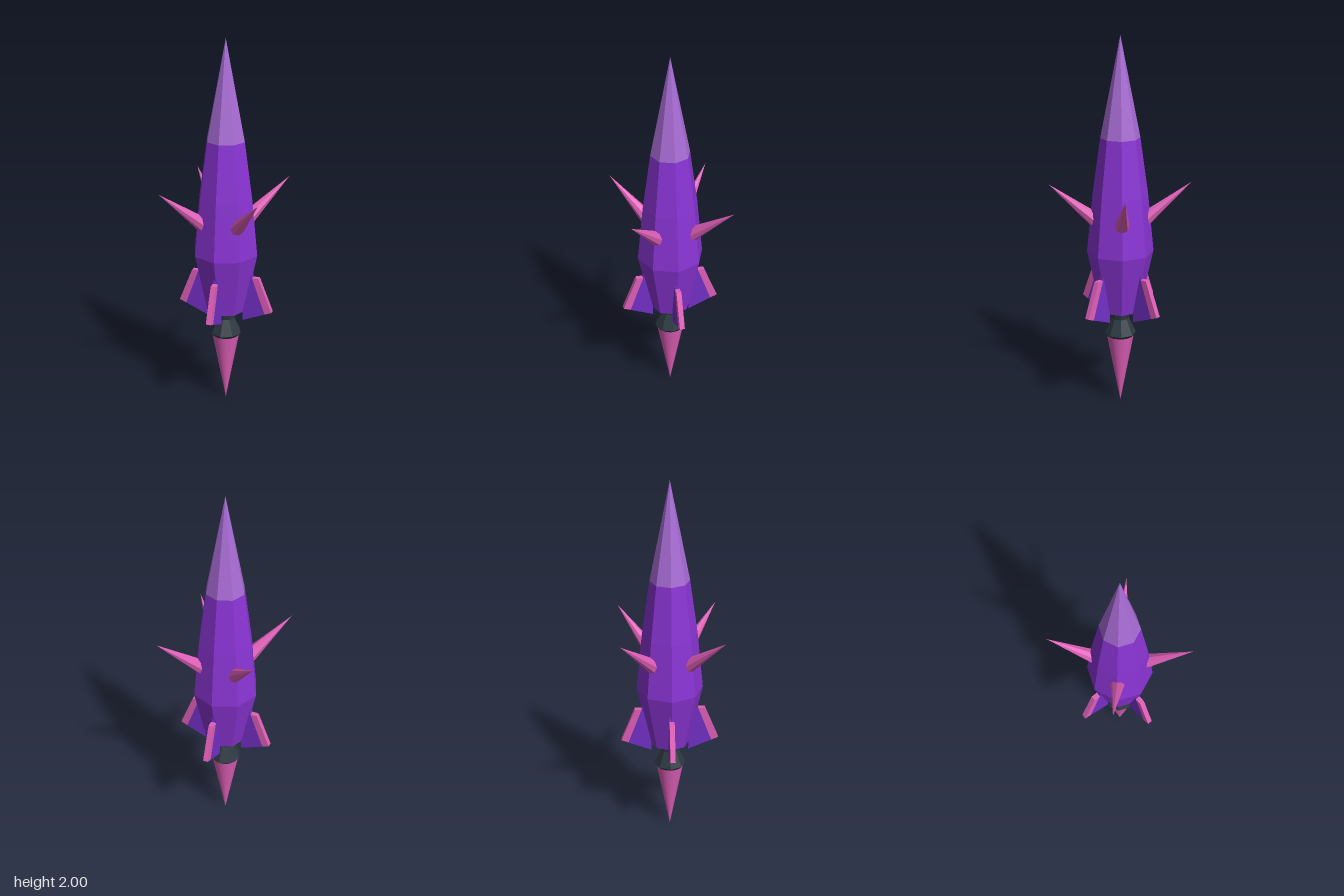
import * as THREE from 'three';

const mat = (name, color, extra = {}) =>
  Object.assign(new THREE.MeshStandardMaterial({ color, ...extra }), { name });

export function createModel() {
  const rocket = new THREE.Group();
  rocket.name = 'rocket';

  const purple = mat('hull purple', 0x8a34d4, { flatShading: true });
  const lilac = mat('nose lilac', 0xa96cd6, { flatShading: true });
  const violet = mat('fin violet', 0x7430c8, { flatShading: true });
  const pink = mat('trim pink', 0xe05fb8, { flatShading: true });
  const flamePink = mat('flame pink', 0xe05fb8);
  const steel = mat('engine steel', 0x2c3840, { flatShading: true });

  const add = (name, geometry, material, parent = rocket) => {
    const mesh = new THREE.Mesh(geometry, material);
    mesh.name = name;
    parent.add(mesh);
    return mesh;
  };
  // Profiles run from bottom to top as [radius, height]
  const lathe = (points, sides) =>
    new THREE.LatheGeometry(points.map(([r, y]) => new THREE.Vector2(r, y)), sides);

  // Eight-sided hull and nose
  add('hull', lathe([[0, 0.54], [0.105, 0.54], [0.176, 0.87], [0.145, 1.18], [0.103, 1.48]], 8), purple);
  add('nose', lathe([[0.103, 1.48], [0, 2]], 8), lilac);

  // Engine bell and exhaust flame
  add('engine', lathe([[0, 0.39], [0.07, 0.39], [0.085, 0.405], [0.046, 0.49], [0.054, 0.545]], 8), steel);
  add('flame', lathe([[0, 0], [0.073, 0.392]], 32), flamePink);

  // Flat plate standing in the xy plane, centred on z
  const thickness = 0.027;
  const plate = (points) => {
    const shape = new THREE.Shape(points.map(([x, y]) => new THREE.Vector2(x, y)));
    return new THREE.ExtrudeGeometry(shape, { depth: thickness, bevelEnabled: false })
      .translate(0, 0, -thickness / 2);
  };
  const finPlate = plate([[0.1, 0.493], [0.225, 0.545], [0.152, 0.745], [0.145, 0.82], [0.1, 0.82]]);
  const finEdge = plate([[0.225, 0.545], [0.262, 0.56], [0.188, 0.745], [0.152, 0.745]]);

  // Spike from the hull to its tip
  const base = new THREE.Vector3(0.127, 1.04, 0);
  const tip = new THREE.Vector3(0.372, 1.24, 0);
  const axis = tip.clone().sub(base);
  const spikeGeometry = new THREE.ConeGeometry(0.04, axis.length(), 8);

  for (let i = 0; i < 4; i++) {
    const fin = new THREE.Group();
    fin.name = 'fin';
    fin.rotation.y = i * Math.PI / 2;
    add('finPlate', finPlate, violet, fin);
    add('finEdge', finEdge, pink, fin);

    const spikeMount = new THREE.Group();
    spikeMount.name = 'spikeMount';
    spikeMount.rotation.y = Math.PI / 4 + i * Math.PI / 2;
    const spike = add('spike', spikeGeometry, pink, spikeMount);
    spike.position.copy(base).add(tip).multiplyScalar(0.5);
    spike.quaternion.setFromUnitVectors(new THREE.Vector3(0, 1, 0), axis.clone().normalize());

    rocket.add(fin, spikeMount);
  }
  return rocket;
}
